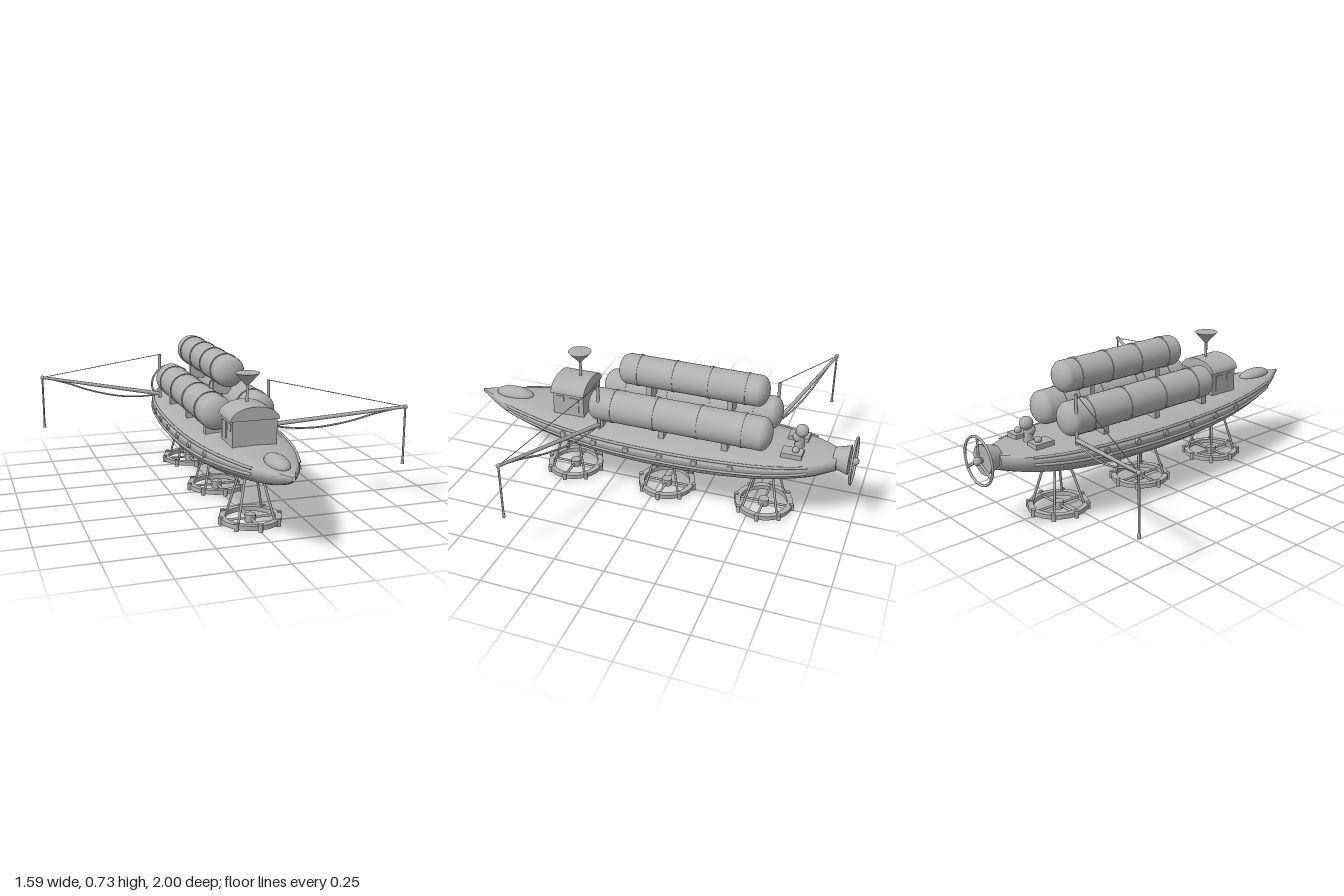
import * as THREE from 'three';
import { toCreasedNormals } from 'three/addons/utils/BufferGeometryUtils.js';

const V = (x, y, z) => new THREE.Vector3(x, y, z);

export function createModel() {
  const root = new THREE.Group();
  root.name = 'airshipBoat';
  const grey = new THREE.MeshStandardMaterial({ color: 0xb0b0b0 });
  grey.name = 'grey';

  const add = (name, geo, x = 0, y = 0, z = 0, parent = root) => {
    const m = new THREE.Mesh(geo, grey);
    m.name = name;
    m.position.set(x, y, z);
    parent.add(m);
    return m;
  };
  const rod = (name, a, b, r, parent = root, r2 = r) => {
    const m = add(name, new THREE.CylinderGeometry(r2, r, a.distanceTo(b), 8), 0, 0, 0, parent);
    m.position.copy(a).add(b).multiplyScalar(0.5);
    m.quaternion.setFromUnitVectors(V(0, 1, 0), b.clone().sub(a).normalize());
    return m;
  };
  const tube = (name, pts, r, parent = root) =>
    add(name, new THREE.TubeGeometry(new THREE.CatmullRomCurve3(pts), 32, r, 8), 0, 0, 0, parent);

  // Hull stations: half width, keel height, z
  const stations = new THREE.CatmullRomCurve3([
    V(0.004, 0.355, 1), V(0.06, 0.31, 0.9), V(0.11, 0.283, 0.8), V(0.175, 0.25, 0.6),
    V(0.215, 0.22, 0.4), V(0.235, 0.203, 0.2), V(0.241, 0.195, 0), V(0.238, 0.197, -0.2),
    V(0.225, 0.207, -0.4), V(0.2, 0.23, -0.6), V(0.145, 0.265, -0.78), V(0.065, 0.3, -0.9),
  ]).getPoints(44);
  const deckY = (z) => 0.385 - 0.012 * Math.max(0, z) ** 2;

  // Half section: width fraction, depth fraction from deck to keel
  const half = [[0, 0], [0.5, 0.02], [0.82, 0.07], [0.95, 0.17], [1, 0.3], [0.99, 0.45],
    [0.88, 0.68], [0.64, 0.88], [0.34, 0.98], [0, 1]];
  const section = [...half, ...half.slice(1, -1).reverse().map(([x, t]) => [-x, t])];
  const n = section.length, pos = [], idx = [];
  stations.forEach((s, i) => {
    const top = deckY(s.z);
    section.forEach(([x, t], j) => {
      pos.push(x * s.x, top + (s.y - top) * t, s.z);
      if (i === stations.length - 1) return;
      const a = i * n + j, b = i * n + (j + 1) % n;
      idx.push(a, b, a + n, b, b + n, a + n);
    });
  });
  const last = (stations.length - 1) * n;
  pos.push(0, 0.345, -0.9);
  for (let j = 0; j < n; j++) idx.push(pos.length / 3 - 1, last + j, last + (j + 1) % n);
  const hull = new THREE.BufferGeometry();
  hull.setAttribute('position', new THREE.Float32BufferAttribute(pos, 3));
  hull.setIndex(idx);
  add('hull', toCreasedNormals(hull, 0.5));

  // Rubbing strakes and portholes along both sides
  const mid = stations.filter((s) => s.z < 0.82 && s.z > -0.8);
  for (const side of [-1, 1]) {
    for (const [w, t] of [[0.97, 0.18], [0.99, 0.46]]) {
      tube('strake', mid.map((s) => V(side * s.x * w, deckY(s.z) + (s.y - deckY(s.z)) * t, s.z)), 0.007);
    }
    for (let i = 0; i < 6; i++) {
      const z = 0.44 - i * 0.174;
      const s = stations.reduce((p, q) => (Math.abs(q.z - z) < Math.abs(p.z - z) ? q : p));
      add('porthole', new THREE.CylinderGeometry(0.015, 0.015, 0.016, 16), side * s.x, 0.33, z).rotation.z = Math.PI / 2;
    }
  }
  add('bowBlister', new THREE.SphereGeometry(1, 24, 12), 0, 0.38, 0.81).scale.set(0.047, 0.034, 0.105);

  // Gas tanks with domed ends and bands
  const tank = (x, y, r, z0, z1, bands) => {
    const g = new THREE.Group();
    g.name = 'tank';
    root.add(g);
    const cap = 0.05, profile = [];
    for (let i = 0; i <= 8; i++) {
      const a = (i / 8) * Math.PI / 2;
      profile.push(new THREE.Vector2(r * Math.sin(a), z0 + cap - cap * Math.cos(a)));
    }
    for (let i = 8; i >= 0; i--) {
      const a = (i / 8) * Math.PI / 2;
      profile.push(new THREE.Vector2(r * Math.sin(a), z1 - cap + cap * Math.cos(a)));
    }
    add('tankShell', new THREE.LatheGeometry(profile, 28), x, y, 0, g).rotation.x = Math.PI / 2;
    for (const z of bands) {
      add('tankBand', new THREE.CylinderGeometry(r + 0.003, r + 0.003, 0.012, 28), x, y, z, g).rotation.x = Math.PI / 2;
    }
  };
  for (const x of [-0.104, 0.104]) {
    tank(x, 0.48, 0.082, -0.6, 0.33, [-0.46, -0.24, -0.02, 0.2]);
    for (const z of [0.26, -0.06, -0.38]) add('lowerSaddle', new THREE.BoxGeometry(0.1, 0.055, 0.03), x, 0.4, z);
  }
  tank(0, 0.646, 0.076, -0.55, 0.205, [-0.44, -0.26, -0.08, 0.1]);
  for (const z of [0.04, -0.37]) add('upperSaddle', new THREE.BoxGeometry(0.09, 0.09, 0.025), 0, 0.56, z);

  // Cabin with arched roof, windows and dish
  add('cabin', new THREE.BoxGeometry(0.212, 0.125, 0.165), 0, 0.44, 0.452);
  const arch = new THREE.Shape();
  arch.moveTo(0.116, 0);
  arch.absellipse(0, 0, 0.116, 0.062, 0, Math.PI, false, 0);
  arch.closePath();
  const roof = new THREE.ExtrudeGeometry(arch, { depth: 0.18, bevelEnabled: false, curveSegments: 20 });
  add('cabinRoof', toCreasedNormals(roof, 0.6), 0, 0.497, 0.362);
  for (const s of [-1, 1]) {
    add('cabinDoor', new THREE.BoxGeometry(0.006, 0.08, 0.05), s * 0.107, 0.44, 0.42);
    add('cabinWindow', new THREE.BoxGeometry(0.006, 0.035, 0.04), s * 0.107, 0.465, 0.495);
  }
  rod('dishPole', V(0, 0.55, 0.425), V(0, 0.65, 0.425), 0.007);
  add('dish', new THREE.CylinderGeometry(0.058, 0.008, 0.056, 24), 0, 0.664, 0.425);

  // Outrigger cranes: post, boom, stay, sagging hose, hanging line
  const crane = (s, z, tip) => {
    const g = new THREE.Group();
    g.name = 'crane';
    root.add(g);
    const foot = V(s * 0.165, 0.395, z), top = V(s * 0.165, 0.615, z);
    rod('cranePost', V(s * 0.165, 0.36, z), top, 0.008, g);
    rod('craneBoom', foot, tip, 0.011, g, 0.008);
    rod('craneStay', top, tip, 0.0018, g);
    const sag = [[0, 0], [0.2, -0.012], [0.4, -0.035], [0.65, -0.044], [0.87, -0.025], [1, 0]];
    tube('craneHose', sag.map(([t, d]) => tip.clone().lerp(foot, t).add(V(0, d, 0))), 0.0045, g);
    add('boomTip', new THREE.SphereGeometry(0.011, 10, 8), tip.x, tip.y, tip.z, g);
    rod('hangingLine', V(tip.x, 0.22, tip.z), tip, 0.005, g);
    add('lineWeight', new THREE.CylinderGeometry(0.006, 0.009, 0.02, 8), tip.x, 0.217, tip.z, g);
  };
  crane(1, 0.26, V(0.78, 0.49, 0.477));
  crane(-1, -0.56, V(-0.785, 0.49, -0.733));

  // Wheel-shaped landing pads on splayed legs
  for (const z of [0.48, -0.04, -0.557]) {
    const g = new THREE.Group();
    g.name = 'landingPad';
    g.position.z = z;
    root.add(g);
    const ring = [[0.118, 0.008], [0.146, 0.008], [0.146, 0.03], [0.118, 0.03], [0.118, 0.008]]
      .map(([x, y]) => new THREE.Vector2(x, y));
    add('padRing', toCreasedNormals(new THREE.LatheGeometry(ring, 32), 0.5), 0, 0, 0, g);
    add('padHub', new THREE.CylinderGeometry(0.026, 0.026, 0.036, 16), 0, 0.019, 0, g);
    for (let i = 0; i < 4; i++) {
      const a = (i * Math.PI) / 2, d = a + Math.PI / 4;
      rod('padSpoke', V(0, 0.019, 0), V(0.13 * Math.cos(a), 0.019, 0.13 * Math.sin(a)), 0.006, g);
      rod('padLeg', V(0.125 * Math.cos(d), 0.022, 0.125 * Math.sin(d)),
        V(0.06 * Math.cos(d), 0.225, 0.06 * Math.sin(d)), 0.006, g);
    }
    for (let i = 0; i < 8; i++) {
      const a = (i * Math.PI) / 4;
      add('padNub', new THREE.CylinderGeometry(0.011, 0.011, 0.036, 10), 0.144 * Math.cos(a), 0.018, 0.144 * Math.sin(a), g);
    }
  }

  // Stern controls
  for (const x of [-0.077, 0.083]) {
    add('controlBox', new THREE.BoxGeometry(0.068, 0.026, 0.1), x, 0.39, -0.695);
    add('controlKnob', new THREE.SphereGeometry(0.017, 14, 10), x, 0.412, -0.71);
  }
  rod('pedestal', V(0, 0.37, -0.71), V(0, 0.46, -0.71), 0.026, root, 0.018);
  add('pedestalCollar', new THREE.SphereGeometry(0.026, 16, 12), 0, 0.435, -0.7);
  add('searchlight', new THREE.SphereGeometry(0.032, 18, 12), 0, 0.472, -0.718);

  // Propulsion cone, hub and ringed propeller
  const py = 0.358;
  add('tailCone', new THREE.CylinderGeometry(0.05, 0.072, 0.075, 24), 0, py, -0.918).rotation.x = Math.PI / 2;
  add('propellerShaft', new THREE.CylinderGeometry(0.011, 0.011, 0.05, 12), 0, py, -0.965).rotation.x = Math.PI / 2;
  add('propellerHub', new THREE.SphereGeometry(0.02, 16, 12), 0, py, -0.98);
  add('propellerRing', new THREE.TorusGeometry(0.112, 0.006, 8, 40), 0, py, -0.975);
  for (let i = 0; i < 3; i++) {
    const a = Math.PI / 2 + (i * Math.PI * 2) / 3;
    rod('propellerSpoke', V(0, py, -0.975), V(0.112 * Math.cos(a), py + 0.112 * Math.sin(a), -0.975), 0.006);
  }
  return root;
}
